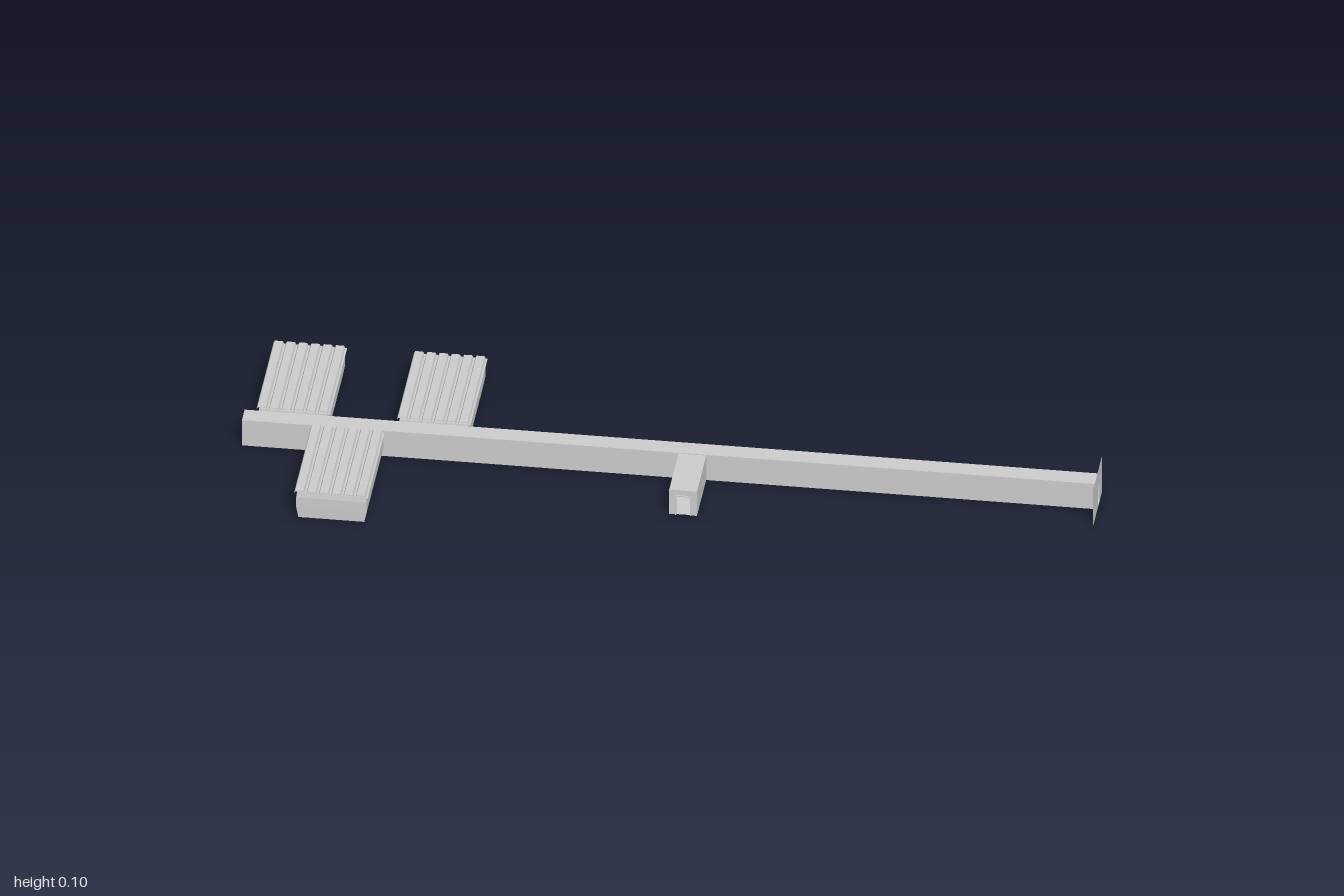
import * as THREE from 'three';

const grey = new THREE.MeshStandardMaterial({ color: 0xcccccc, side: THREE.DoubleSide, flatShading: true });

function add(parent, name, geometry, x = 0, y = 0, z = 0) {
  const mesh = new THREE.Mesh(geometry, grey);
  mesh.name = name;
  mesh.position.set(x, y, z);
  parent.add(mesh);
  return mesh;
}

// Hollow box with one face removed (0 +x, 1 -x, 2 +y, 3 -y, 4 +z, 5 -z)
function openBox(w, h, d, face) {
  const g = new THREE.BoxGeometry(w, h, d);
  const index = Array.from(g.index.array);
  index.splice(face * 6, 6);
  g.setIndex(index);
  g.clearGroups();
  return g;
}

// Flat wall in the xy plane with a doorway notched into its foot
function doorWall(x0, x1, height, d0, d1, doorHeight) {
  const points = [[x0, 0], [d0, 0], [d0, doorHeight], [d1, doorHeight], [d1, 0], [x1, 0], [x1, height], [x0, height]];
  return new THREE.ShapeGeometry(new THREE.Shape(points.map(([x, y]) => new THREE.Vector2(x, y))));
}

// Door surround: two jambs and a lintel, facing +z
function doorFrame(width, height, depth) {
  const t = 0.003;
  const g = new THREE.Group();
  g.name = 'doorFrame';
  for (const s of [-1, 1]) add(g, 'jamb', new THREE.BoxGeometry(t, height, depth), s * (width + t) / 2, height / 2, 0);
  add(g, 'lintel', new THREE.BoxGeometry(width + 2 * t, t, depth), 0, height + t / 2, 0);
  return g;
}

// Closed body through rectangular sections [y, halfX, halfZ]
function sectionBody(sections) {
  const pos = [], idx = [];
  for (const [y, a, b] of sections) pos.push(-a, y, b, a, y, b, a, y, -b, -a, y, -b);
  for (let k = 0; k < sections.length - 1; k++) {
    for (let i = 0; i < 4; i++) {
      const p = k * 4 + i, q = k * 4 + (i + 1) % 4;
      idx.push(p, q, q + 4, p, q + 4, p + 4);
    }
  }
  const t = (sections.length - 1) * 4;
  idx.push(0, 2, 1, 0, 3, 2, t, t + 1, t + 2, t, t + 2, t + 3);
  const g = new THREE.BufferGeometry();
  g.setAttribute('position', new THREE.Float32BufferAttribute(pos, 3));
  g.setIndex(idx);
  const flat = g.toNonIndexed();
  flat.computeVertexNormals();
  return flat;
}

// Ribbed roof sheet, ribs running along z
function ribbedRoof(width, length, ribs) {
  const low = 0.072, high = 0.078, step = width / ribs;
  const top = [];
  for (let i = 0; i < ribs; i++) {
    const x = -width / 2 + i * step;
    top.push([x, low], [x + step * 0.1, high], [x + step * 0.75, high], [x + step * 0.85, low]);
  }
  top.push([width / 2, low]);
  const under = top.map(([x, y]) => [x, y - 0.0015]).reverse();
  const shape = new THREE.Shape([...top, ...under].map(([x, y]) => new THREE.Vector2(x, y)));
  return new THREE.ExtrudeGeometry(shape, { depth: length, bevelEnabled: false }).translate(0, 0, -length / 2);
}

function createModel() {
  const model = new THREE.Group();
  model.name = 'corridorWithHalls';

  // Long corridor, open towards the end wall
  const h = 0.069, back = -0.027, front = 0.019;
  add(model, 'corridor', openBox(1.998, h, front - back, 0), 0, h / 2, (front + back) / 2);

  // Thin panel seams along both corridor walls
  for (const x of [-0.49, -0.27, 0.34, 0.46, 0.535, 0.65, 0.765, 0.865])
    add(model, 'frontSeam', new THREE.BoxGeometry(0.002, h, 0.001), x, h / 2, front);
  for (const x of [-0.34, 0.27, 0.8, 0.88])
    add(model, 'backSeam', new THREE.BoxGeometry(0.002, h, 0.001), x, h / 2, back);

  // Oversized end wall with doorway, facing +x
  const endWall = add(model, 'endWall', doorWall(-0.098, 0.058, 0.099, -0.0135, 0.0135, 0.051), 0.999, 0, 0);
  endWall.rotation.y = Math.PI / 2;

  // Short entrance branch with doorway, facing +z
  add(model, 'entranceBranch', openBox(0.065, 0.066, 0.156, 4), 0.053, 0.034, 0.097);
  add(model, 'entranceWall', doorWall(-0.0325, 0.0325, 0.067, -0.016, 0.016, 0.05), 0.053, 0, 0.175);
  const frame = doorFrame(0.032, 0.05, 0.004);
  frame.position.set(0.053, 0, 0.1755);
  model.add(frame);

  // Three halls: one in front of the corridor, two behind it
  const length = 0.288;
  for (const [name, x, side] of [['frontHall', -0.75, 1], ['backOuterHall', -0.886, -1], ['backInnerHall', -0.558, -1]]) {
    const hall = new THREE.Group();
    hall.name = name;
    const inner = side > 0 ? front : -back;
    const outer = 0.309;
    const half = (outer - inner) / 2;
    add(hall, 'hallWalls', sectionBody([
      [0.001, 0.077, half - 0.001], [0.028, 0.082, half], [0.055, 0.082, half], [0.0715, 0.08, half - 0.003],
    ]));
    add(hall, 'ribbedRoof', ribbedRoof(0.172, length, 6), 0, 0, side * (0.317 - length / 2 - (outer + inner) / 2));
    hall.position.set(x, 0, side * (outer + inner) / 2);
    model.add(hall);
  }
  return model;
}

export { createModel };
